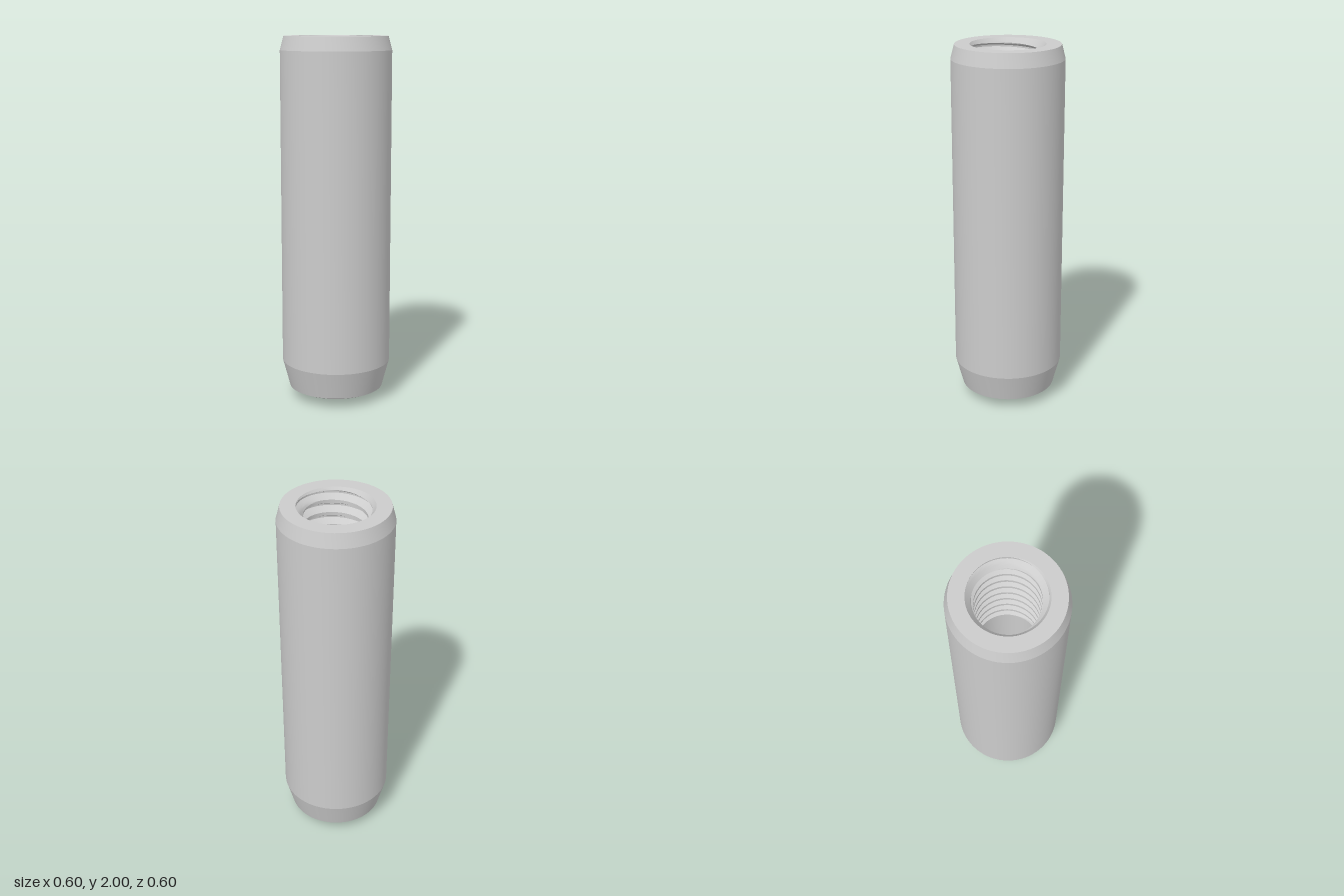
import * as THREE from 'three';
import { toCreasedNormals } from 'three/addons/utils/BufferGeometryUtils.js';

const SEGMENTS = 72;
const MINOR = 0.163, MAJOR = 0.2;            // thread radii
const PITCH = 0.07, THREAD_END = 1.4, CHAMFER_Y = 1.95, TOP = 2;

const material = new THREE.MeshStandardMaterial({ color: 0xcccccc });

function addMesh(group, name, geometry, crease) {
  const mesh = new THREE.Mesh(toCreasedNormals(geometry, crease), material);
  mesh.name = name;
  group.add(mesh);
}

function lathe(points) {
  return new THREE.LatheGeometry(points.map(([r, y]) => new THREE.Vector2(r, y)), SEGMENTS);
}

// Bore radius at a height and a fraction of a turn: trapezoid thread cut by the entry chamfer
function boreRadius(y, turn) {
  const t = THREE.MathUtils.euclideanModulo((y - CHAMFER_Y) / PITCH - turn, 1);
  let depth = 0;
  if (t > 0.25 && t < 0.5625) depth = (t - 0.25) / 0.3125;
  else if (t >= 0.5625 && t <= 0.6875) depth = 1;
  else if (t > 0.6875) depth = (1 - t) / 0.3125;
  const chamfer = (y - CHAMFER_Y) / (TOP - CHAMFER_Y);
  return MINOR + (MAJOR - MINOR) * Math.max(depth, chamfer);
}

// Inward-facing helical surface, its rows following the thread
function threadGeometry() {
  const knots = [0, 0.25, 0.5625, 0.6875, 1], steps = 4;
  const rows = [];
  for (let k = -9; k <= 0; k++)
    for (let s = 0; s < 4; s++)
      for (let j = 0; j < steps; j++)
        rows.push(k + THREE.MathUtils.lerp(knots[s], knots[s + 1], j / steps));
  rows.push(1);

  const positions = [], index = [];
  const count = rows.length + 1;
  for (let i = 0; i <= SEGMENTS; i++) {
    const turn = i / SEGMENTS, angle = turn * Math.PI * 2;
    const put = (r, y) => positions.push(r * Math.cos(angle), y, -r * Math.sin(angle));
    put(MINOR, THREAD_END);                  // closes the groove run-out
    for (const row of rows) {
      const y = THREE.MathUtils.clamp(CHAMFER_Y + PITCH * (row + turn), THREAD_END, TOP);
      put(boreRadius(y, turn), y);
    }
    if (i === SEGMENTS) break;
    for (let j = 0; j < count - 1; j++) {
      const a = i * count + j, b = a + count;
      index.push(a, a + 1, b, b, a + 1, b + 1);
    }
  }
  const geometry = new THREE.BufferGeometry();
  geometry.setAttribute('position', new THREE.Float32BufferAttribute(positions, 3));
  geometry.setIndex(index);
  return geometry;
}

export function createModel() {
  const group = new THREE.Group();
  group.name = 'threadedDowelPin';

  // Pin body: domed foot, long lead-in taper, shank, top chamfer and rim
  const domeRadius = 0.593, domeAngle = Math.asin(0.26 / domeRadius);
  const profile = [];
  for (let i = 0; i <= 10; i++) {
    const a = domeAngle * i / 10;
    profile.push([domeRadius * Math.sin(a), domeRadius * (1 - Math.cos(a))]);
  }
  profile.push([0.3, 0.21], [0.3, 1.925], [0.28, TOP], [MAJOR, TOP]);
  addMesh(group, 'pinBody', lathe(profile), 0.2);

  // Internal thread
  addMesh(group, 'internalThread', threadGeometry(), 0.4);

  // Blind pilot hole with a drill-point bottom
  addMesh(group, 'pilotHole', lathe([[MINOR, THREAD_END], [MINOR, 1], [0, 0.906]]), 0.4);

  return group;
}
